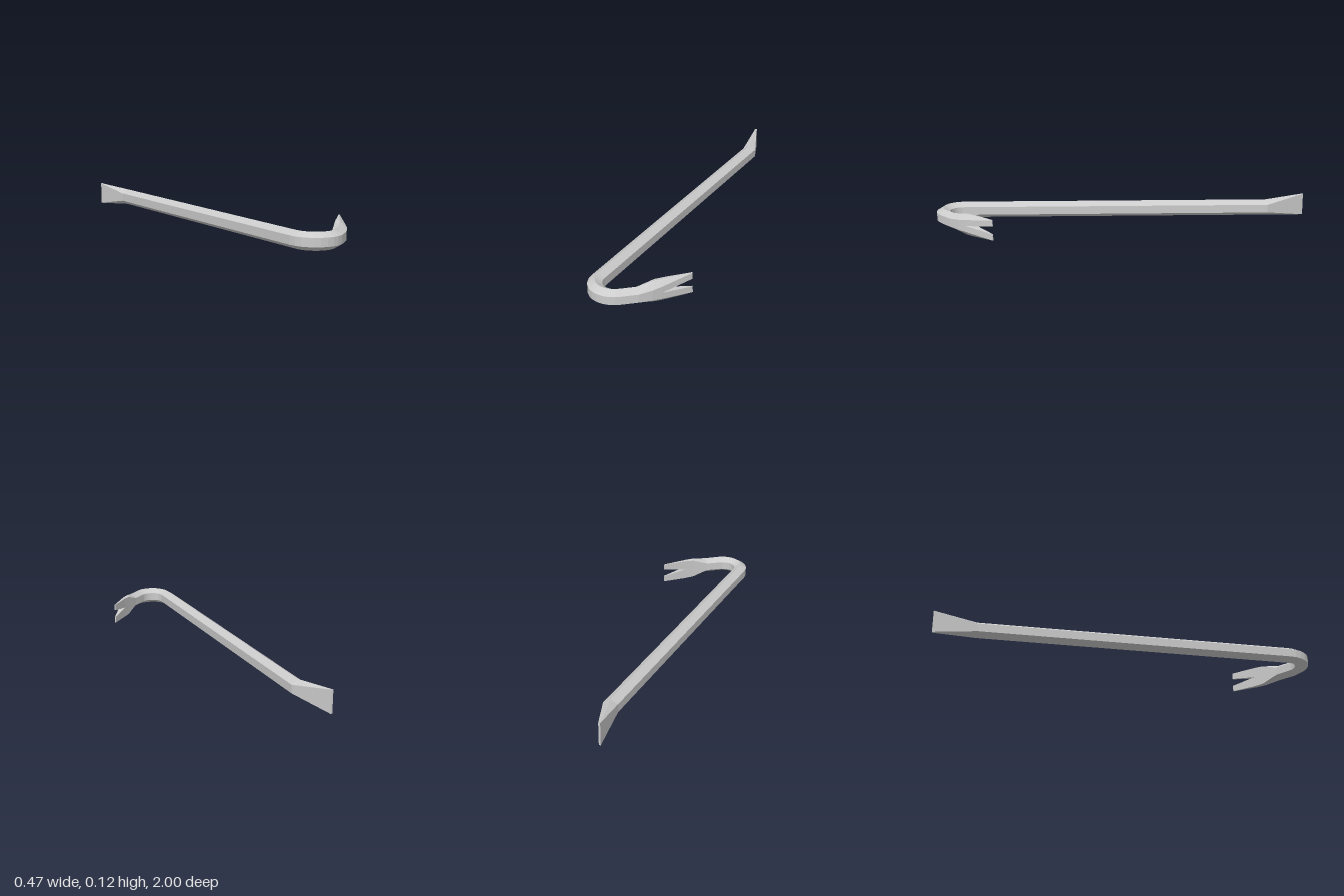
import * as THREE from 'three';

const MID = 0.0615; // height of the bar's axis
const HALF = 0.0215, RIDGE = 0.0435; // half heights of the side flats and the ridges

// A station along the bar: outer, ridge and inner points as [x, z], each with a half height
const station = (o, r, i, so = HALF, h = RIDGE, si = HALF) => ({ o, r, i, so, h, si });

const at = ([x, z], y) => new THREE.Vector3(x, MID + y, z);

// Six-sided ring with ridges at the top and bottom
const hexRing = (s) => [
  at(s.o, s.so), at(s.r, s.h), at(s.i, s.si),
  at(s.i, -s.si), at(s.r, -s.h), at(s.o, -s.so),
];

// Upper half ring for one claw prong, its lower side at the given gap height
const prongRing = (s, gap) => [
  at(s.o, s.so), at(s.r, s.h), at(s.i, s.si), at(s.i, gap), at(s.o, gap),
];

// Reflects a ring across the bar's mid plane, keeping the winding
const mirrorRing = (ring) =>
  ring.map((p) => new THREE.Vector3(p.x, 2 * MID - p.y, p.z)).reverse();

// Flat-shaded skin through matching rings, with optional end caps
function loft(name, rings, capStart, capEnd, material) {
  const pts = [];
  const n = rings[0].length;
  for (let k = 0; k < rings.length - 1; k++) {
    const a = rings[k], b = rings[k + 1];
    for (let j = 0; j < n; j++) {
      const m = (j + 1) % n;
      pts.push(a[j], b[j], b[m], a[j], b[m], a[m]);
    }
  }
  const last = rings[rings.length - 1];
  for (let j = 1; j < n - 1; j++) {
    if (capStart) pts.push(rings[0][0], rings[0][j], rings[0][j + 1]);
    if (capEnd) pts.push(last[0], last[j + 1], last[j]);
  }
  const geometry = new THREE.BufferGeometry().setFromPoints(pts);
  geometry.computeVertexNormals();
  const mesh = new THREE.Mesh(geometry, material);
  mesh.name = name;
  return mesh;
}

export function createModel() {
  const group = new THREE.Group();
  group.name = 'crowbar';
  const steel = new THREE.MeshStandardMaterial({ color: 0xcccccc, flatShading: true });

  // Flared chisel tip and the point where the straight shaft begins
  const chiselTip = station([-0.234, -1], [-0.23, -1], [-0.224, -1], 0.059, 0.0595, 0.059);
  const shaftStart = station([-0.206, -0.775], [-0.171, -0.782], [-0.136, -0.79]);

  // Hook bend: an arc from the shaft around to the claw
  const bend = [];
  const steps = 10, cx = -0.071, cz = 0.865;
  for (let k = 0; k <= steps; k++) {
    const a = Math.PI * (1 - (0.74 * k) / steps);
    const p = (r) => [cx + r * Math.cos(a), cz + r * Math.sin(a)];
    bend.push(station(p(0.135), p(0.1), p(0.065)));
  }

  // Claw widening up to the root of the notch, then to the thin tip
  const neck = station([0.082, 0.913], [0.057, 0.888], [0.034, 0.866]);
  const flare = station([0.125, 0.862], [0.112, 0.822], [0.1, 0.806], 0.027, 0.0565, 0.052);
  const root = station([0.15, 0.823], [0.145, 0.785], [0.137, 0.77], 0.032, 0.0565, 0.055);
  const tip = station([0.233, 0.678], [0.231, 0.676], [0.229, 0.674], 0.053, 0.0545, 0.054);

  group.add(loft('chisel', [chiselTip, shaftStart].map(hexRing), true, false, steel));
  group.add(loft('shaft', [shaftStart, bend[0]].map(hexRing), false, false, steel));
  group.add(loft('hook', bend.map(hexRing), false, false, steel));
  group.add(loft('clawNeck', [bend[steps], neck, flare, root].map(hexRing), false, false, steel));

  // Two prongs either side of the V notch
  const prong = [prongRing(root, 0), prongRing(tip, 0.021)];
  group.add(loft('upperProng', prong, false, true, steel));
  group.add(loft('lowerProng', prong.map(mirrorRing), false, true, steel));

  return group;
}
